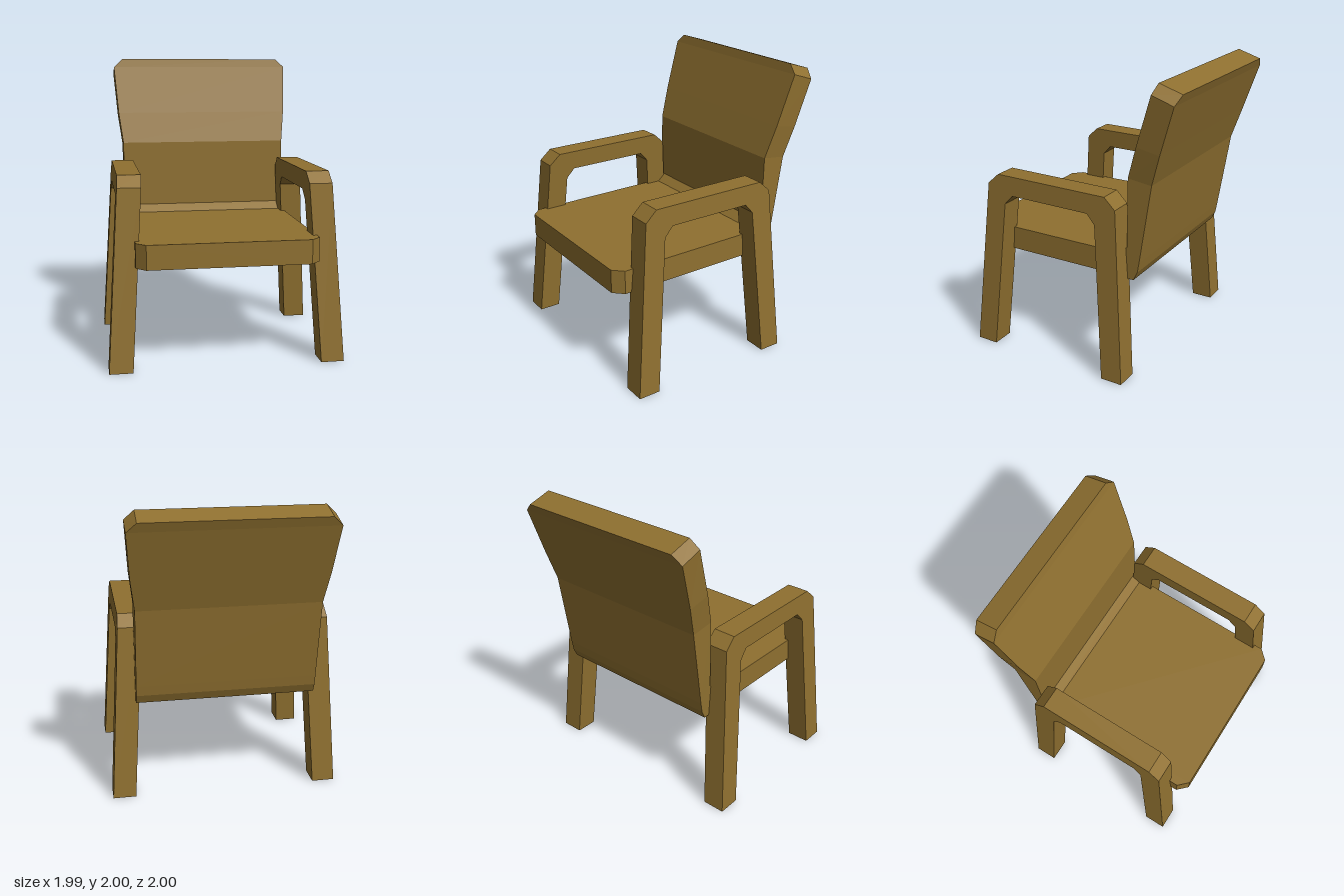
import * as THREE from 'three';

const wood = new THREE.MeshStandardMaterial({ color: 0x8f7030 });
wood.name = 'brown wood';

function part(name, geometry) {
  const mesh = new THREE.Mesh(geometry, wood);
  mesh.name = name;
  return mesh;
}

function extrude(points, depth) {
  const shape = new THREE.Shape(points.map(([x, y]) => new THREE.Vector2(x, y)));
  return new THREE.ExtrudeGeometry(shape, { depth, bevelEnabled: false });
}

// Apply a rule to every vertex, then refresh the faceted normals
function reshape(geometry, rule) {
  const p = geometry.attributes.position;
  const v = new THREE.Vector3();
  for (let i = 0; i < p.count; i++) {
    rule(v.fromBufferAttribute(p, i));
    p.setXYZ(i, v.x, v.y, v.z);
  }
  geometry.computeVertexNormals();
  return geometry;
}

// Two splayed legs and an armrest in one piece, leaning inward (side: +1 left, -1 right)
function sideFrame(side) {
  const outline = [ // [z, y]
    [0.675, 0], [0.57, 1.19], [0.49, 1.263], [-0.34, 1.263], [-0.42, 1.19], [-0.512, 0],
    [-0.36, 0], [-0.274, 1.065], [-0.217, 1.13], [0.372, 1.13], [0.432, 1.065], [0.522, 0],
  ];
  const width = 0.155;
  const g = extrude(outline, width).rotateY(-Math.PI / 2);
  return reshape(g, (v) => { v.x += width / 2 + side * (0.7025 - 0.062 * v.y); });
}

// Seat board with chamfered front corners, tilted very slightly back
function seat() {
  const outline = [ // [x, -z]
    [-0.6, 0.395], [-0.6, -0.66], [-0.536, -0.725],
    [0.536, -0.725], [0.6, -0.66], [0.6, 0.395],
  ];
  const g = extrude(outline, 0.162).rotateX(-Math.PI / 2);
  return reshape(g, (v) => { v.y += 0.688 + (0.66 - v.z) * 0.008; });
}

// Curved backrest lofted through four-cornered sections
function backrest() {
  const sections = [ // [half width, front y, front z, rear y, rear z]
    [0.605, 0.69, -0.39, 0.69, -0.5],
    [0.605, 0.857, -0.392, 0.75, -0.528],
    [0.605, 0.91, -0.45, 0.82, -0.54],
    [0.607, 1.38, -0.455, 1.36, -0.622],
    [0.635, 1.6, -0.525, 1.57, -0.687],
    [0.66, 1.94, -0.635, 1.89, -0.787],
    [0.595, 2.0, -0.65, 1.95, -0.81],
  ];
  const rings = sections.map(([h, fy, fz, ry, rz]) => [
    [-h, fy, fz], [h, fy, fz], [h, ry, rz], [-h, ry, rz],
  ]);
  const pos = [];
  const quad = (a, b, c, d) => [a, b, c, a, c, d].forEach((p) => pos.push(...p));
  for (let i = 0; i < rings.length - 1; i++) {
    for (let j = 0; j < 4; j++) {
      const k = (j + 1) % 4;
      quad(rings[i][j], rings[i][k], rings[i + 1][k], rings[i + 1][j]);
    }
  }
  const bottom = rings[0];
  quad(bottom[3], bottom[2], bottom[1], bottom[0]);
  quad(...rings[rings.length - 1]);
  const g = new THREE.BufferGeometry();
  g.setAttribute('position', new THREE.Float32BufferAttribute(pos, 3));
  g.computeVertexNormals();
  return g;
}

export function createModel() {
  const chair = new THREE.Group();
  chair.name = 'chair';
  chair.add(
    part('leftArmAndLegs', sideFrame(1)),
    part('rightArmAndLegs', sideFrame(-1)),
    part('seat', seat()),
    part('backrest', backrest()),
  );
  // The chair stands turned towards its left
  chair.rotation.y = THREE.MathUtils.degToRad(31.5);
  chair.position.set(-0.028, 0, 0.017);

  const model = new THREE.Group();
  model.name = 'armchair';
  model.add(chair);
  return model;
}
